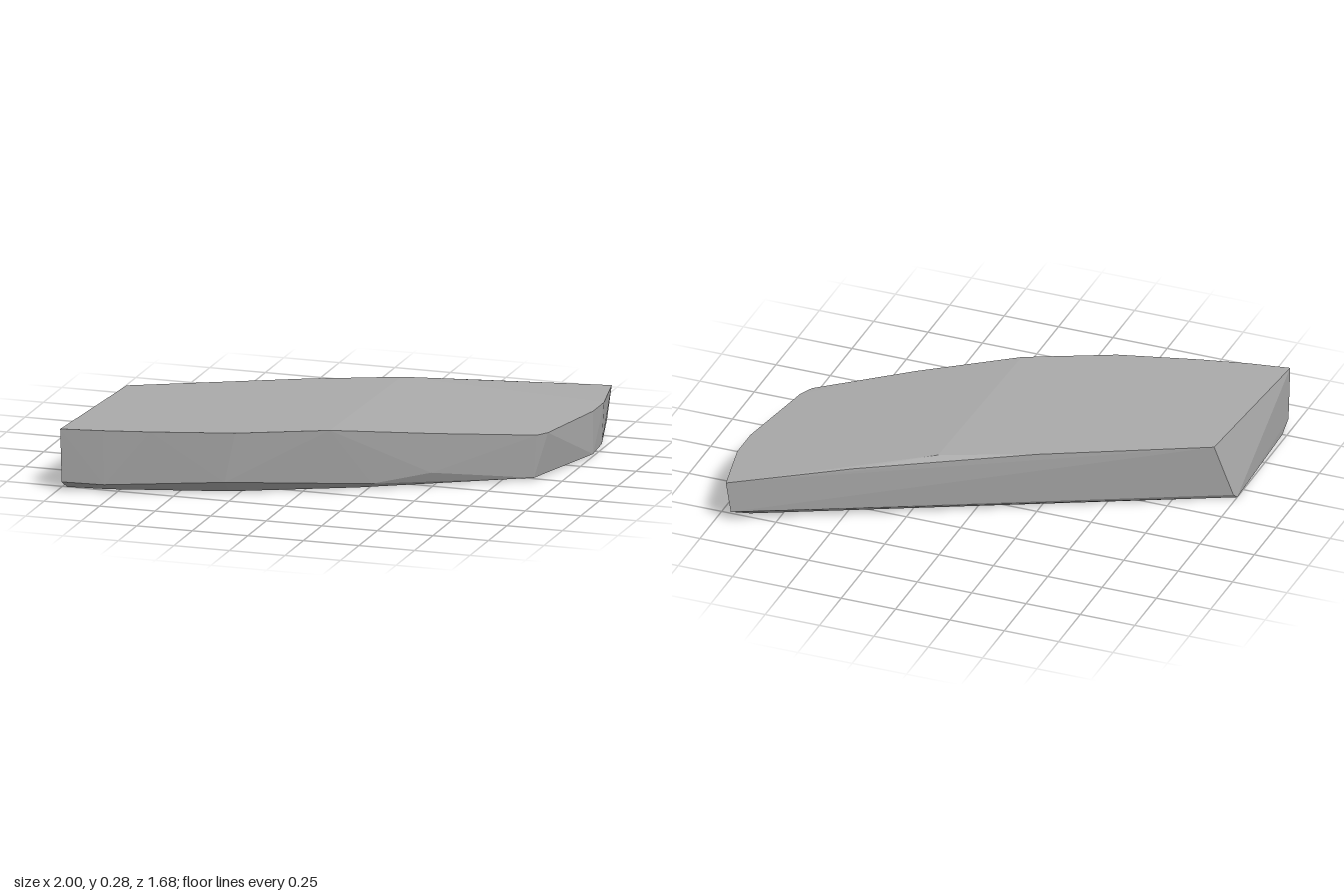
import * as THREE from 'three';
import { ConvexGeometry } from 'three/addons/geometries/ConvexGeometry.js';

// Rim of the upper face: x, y, z
const topRim = [
  [-0.98, 0.28, 0.84], [-0.8, 0.28, 0.81], [-0.6, 0.28, 0.765], [-0.25, 0.28, 0.67],
  [0.12, 0.28, 0.5], [0.52, 0.243, 0.28], [0.9, 0.206, 0.04], [0.93, 0.204, -0.02],
  [1, 0.2, -0.42], [1, 0.2, -0.57], [0.945, 0.2, -0.84],
  [0.45, 0.245, -0.594], [-0.25, 0.28, -0.248], [-0.93, 0.28, 0.09],
];

// Crest where the upper face starts to slope
const crest = [[0.14, 0.28, -0.41]];

// Lower edge of the walls, above the chamfer
const wallFoot = [
  [-0.98, 0.04, 0.82], [-0.8, 0.035, 0.79], [-0.3, 0.055, 0.66], [0.27, 0.025, 0.38],
  [0.5, 0.065, 0.27], [0.7, 0.045, 0.14], [0.88, 0.01, 0.02],
  [1, 0.01, -0.42], [0.99, 0.015, -0.57], [0.93, 0.05, -0.82], [-0.99, 0.02, 0.16],
];

// Outline of the flat underside
const base = [
  [-0.98, 0, 0.75], [-0.8, 0, 0.73], [-0.3, 0, 0.6], [0.2, 0, 0.37], [0.6, 0, 0.14],
  [0.86, 0, -0.04], [0.97, 0, -0.42], [0.95, 0, -0.6], [0.88, 0, -0.72], [-1, 0, 0.18],
];

export function createModel() {
  const model = new THREE.Group();
  model.name = 'stoneSlab';
  const stone = new THREE.MeshStandardMaterial({ color: 0xaaaaaa });
  stone.name = 'grey stone';

  // Faceted slab wrapped round the four outlines
  const points = [...topRim, ...crest, ...wallFoot, ...base].map((p) => new THREE.Vector3(...p));
  const slab = new THREE.Mesh(new ConvexGeometry(points), stone);
  slab.name = 'slab';
  model.add(slab);
  return model;
}
